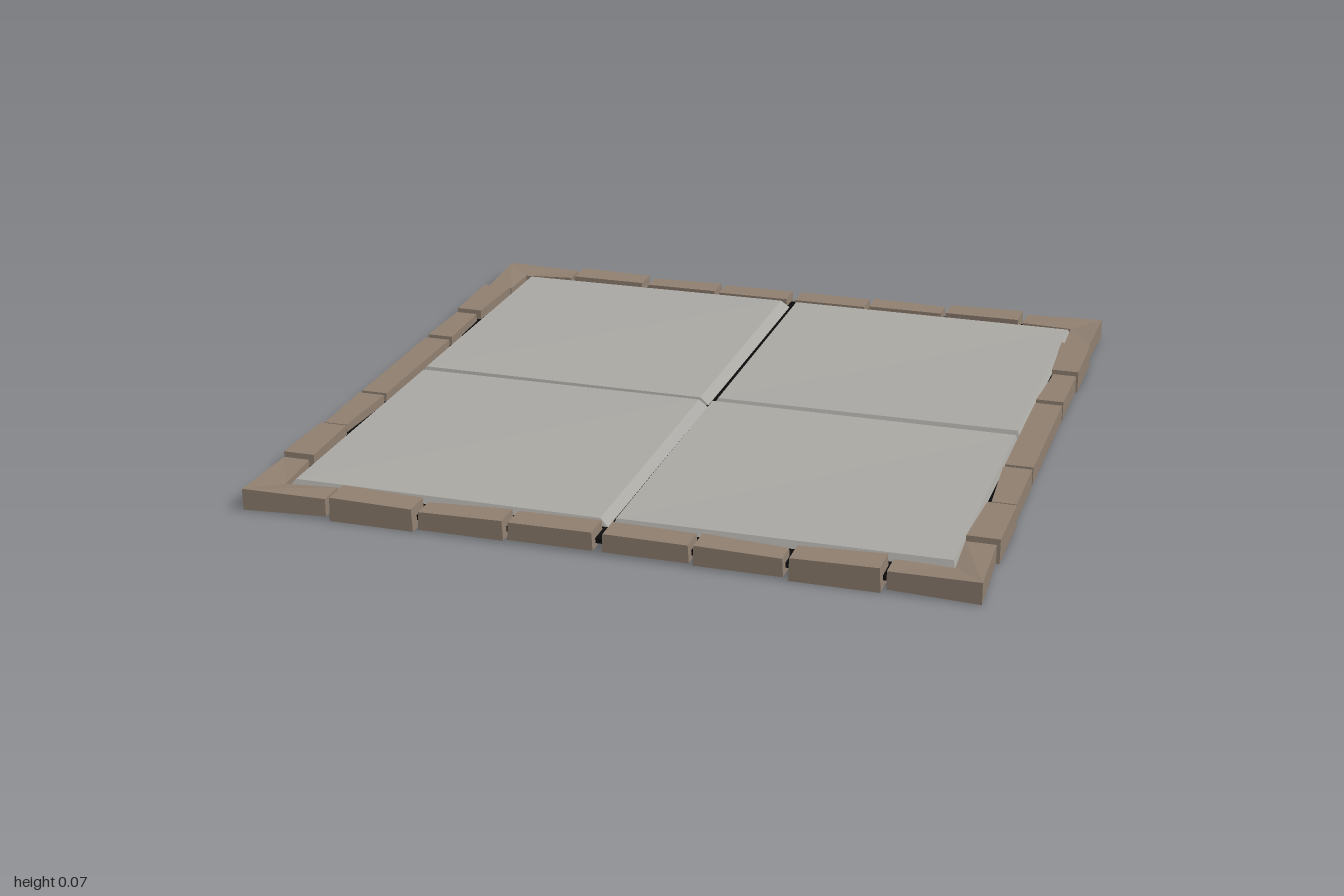
import * as THREE from 'three';

const material = (color) => new THREE.MeshStandardMaterial({ color, flatShading: true });

// Box between two corners; move(v, s) nudges each corner, s holds its signs
function block(name, mat, min, max, move) {
  const size = max.map((m, i) => m - min[i]);
  const geometry = new THREE.BoxGeometry(...size);
  const p = geometry.attributes.position;
  for (let i = 0; i < p.count; i++) {
    const v = new THREE.Vector3().fromBufferAttribute(p, i);
    const s = new THREE.Vector3(Math.sign(v.x), Math.sign(v.y), Math.sign(v.z));
    if (move) move(v, s);
    p.setXYZ(i, v.x, v.y, v.z);
  }
  geometry.computeVertexNormals();
  const mesh = new THREE.Mesh(geometry, mat);
  mesh.name = name;
  mesh.position.set(...min.map((m, i) => (m + max[i]) / 2));
  return mesh;
}

// L-shaped corner stone at +x +z, its ends a little thinner than its elbow
function cornerStone(mat) {
  const shape = new THREE.Shape([
    [0.755, 0.91], [0.91, 0.905], [0.905, 0.755], [0.985, 0.755], [0.995, 0.99], [0.755, 0.985],
  ].map(([x, z]) => new THREE.Vector2(x, -z)));
  const geometry = new THREE.ExtrudeGeometry(shape, { depth: 0.052, bevelEnabled: false });
  geometry.rotateX(-Math.PI / 2);
  const p = geometry.attributes.position;
  for (let i = 0; i < p.count; i++) {
    const x = p.getX(i), z = p.getZ(i), top = p.getY(i) > 0.02;
    const elbow = Math.min(x, z) > 0.95, inner = Math.max(x, z) < 0.95 && Math.min(x, z) > 0.9;
    p.setY(i, top ? (elbow ? 0.064 : inner ? 0.054 : 0.06) : (elbow ? 0.004 : 0.01));
  }
  geometry.computeVertexNormals();
  const mesh = new THREE.Mesh(geometry, mat);
  mesh.name = 'cornerStone';
  return mesh;
}

export function createModel() {
  const model = new THREE.Group();
  model.name = 'floorPanel';
  const stone = material(0x8f7f70);
  const slate = material(0xaaa8a3);
  const grout = material(0x0c0c0c);

  // Dark bed under the tiles and between the stones
  model.add(block('groutBed', grout, [-0.965, 0.022, -0.96], [0.965, 0.036, 0.96]));

  // Four tiles: [x0, x1, z0, z1], then top insets [left, right, back, front]
  const tiles = [
    [-0.91, 0.004, -0.905, -0.004, 0.02, 0.035, 0.006, 0.008],
    [0.006, 0.91, -0.905, -0.01, 0.014, 0.012, 0.006, 0.012],
    [-0.91, 0.004, 0.006, 0.89, 0.02, 0.032, 0.004, 0.012],
    [0.006, 0.905, 0.002, 0.88, 0.006, 0.006, 0.006, 0.012],
  ];
  tiles.forEach(([x0, x1, z0, z1, l, r, b, f], i) => {
    const tile = block('tile', slate, [x0, 0.03, z0], [x1, 0.056, z1], (v, s) => {
      if (s.y > 0) {
        v.x += s.x < 0 ? l : -r;
        v.z += s.z < 0 ? b : -f;
        v.y += s.x * s.z * (i % 2 ? 0.001 : -0.001);
      }
    });
    model.add(tile);
  });

  // Edge stones: [start, end, bottom, top, inner edge, outer edge, skew]
  const stones = [
    [0.012, 0.245, 0.011, 0.061, 0.906, 0.985, 0.002],
    [0.255, 0.492, 0.008, 0.061, 0.915, 0.988, 0.006],
    [0.505, 0.742, 0.002, 0.067, 0.908, 0.992, -0.005],
  ];
  const long = [-0.24, 0.24, 0.011, 0.061, 0.91, 0.988, 0];

  const edgeStone = ([a, b, y0, y1, inner, outer, skew]) =>
    block('edgeStone', stone, [a, y0, inner], [b, y1, outer], (v, s) => {
      if (s.y > 0) v.x -= s.x * 0.003;
      if (s.z < 0) v.z += s.x * skew;
      if (s.y > 0) v.y -= s.x * skew * 0.4;
    });

  // Mirrored copy of a stone, its inner edge kept facing the tiles
  const mirrored = ([a, b, y0, y1, n, o, k]) => [-b, -a, y0, y1, n, o, -k];

  for (let side = 0; side < 4; side++) {
    const edge = new THREE.Group();
    edge.name = ['frontEdge', 'leftEdge', 'backEdge', 'rightEdge'][side];
    const alongX = side % 2 === 0;
    const row = alongX ? stones : stones.slice(1);
    row.forEach((s) => edge.add(edgeStone(s), edgeStone(mirrored(s))));
    if (!alongX) edge.add(edgeStone(long));
    edge.add(cornerStone(stone));
    edge.rotation.y = side * Math.PI / 2;
    model.add(edge);
  }
  return model;
}
